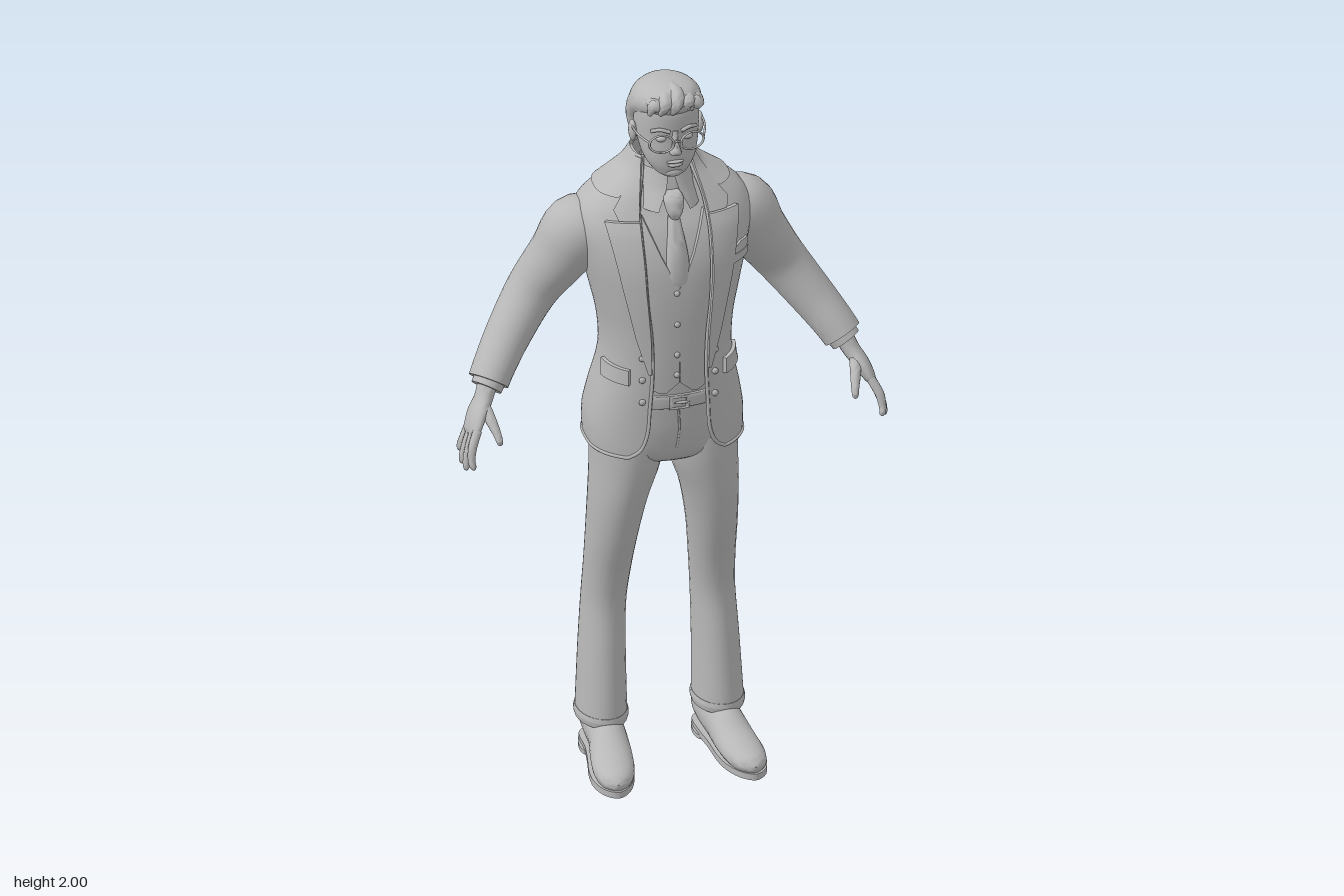
import * as THREE from 'three';
import { mergeVertices, toCreasedNormals } from 'three/addons/utils/BufferGeometryUtils.js';

const clay = new THREE.MeshStandardMaterial({ color: 0xb8b8b8, side: THREE.DoubleSide });
clay.name = 'clay grey';
const V = (x, y, z) => new THREE.Vector3(x, y, z);
const spow = (v, p) => Math.sign(v) * Math.abs(v) ** p;
const lerp = THREE.MathUtils.lerp;

export function createModel() {
  const model = new THREE.Group();
  model.name = 'suitedMan';
  const add = (name, geo, parent = model) => {
    const m = new THREE.Mesh(geo, clay);
    m.name = name;
    parent.add(m);
    return m;
  };

  // Resample a short table of key rows into a smooth, dense one
  const smooth = (t, n = 4) => {
    const out = [], k = i => t[Math.min(Math.max(i, 0), t.length - 1)];
    for (let i = 0; i < t.length - 1; i++) for (let j = 0; j < n; j++) {
      const u = j / n;
      out.push(t[i].map((b, c) => {
        const a = k(i - 1)[c], d = k(i + 1)[c], e = k(i + 2)[c];
        return b + 0.5 * u * (d - a + u * (2 * a - 5 * b + 4 * d - e + u * (3 * (b - d) + e - a)));
      }));
    }
    return [...out, t[t.length - 1]];
  };

  // Skin rows of points, optionally closing both ends
  const skin = (rows, caps) => {
    const pos = [], idx = [], w = rows[0].length;
    rows.forEach(r => r.forEach(p => pos.push(p.x, p.y, p.z)));
    for (let i = 0; i < rows.length - 1; i++) for (let j = 0; j < w - 1; j++) {
      const a = i * w + j, b = a + w;
      idx.push(a, a + 1, b, a + 1, b + 1, b);
    }
    if (caps) [0, rows.length - 1].forEach(e => {
      const c = rows[e].slice(1).reduce((s, p) => s.add(p), V(0, 0, 0)).divideScalar(w - 1);
      const ci = pos.length / 3, o = e * w;
      pos.push(c.x, c.y, c.z);
      for (let j = 0; j < w - 1; j++) e ? idx.push(o + j, o + j + 1, ci) : idx.push(o + j + 1, o + j, ci);
    });
    const g = new THREE.BufferGeometry();
    g.setAttribute('position', new THREE.Float32BufferAttribute(pos, 3));
    g.setIndex(idx);
    return toCreasedNormals(mergeVertices(g, 1e-5), 0.9);
  };

  // Horizontal section [y, halfWidth, frontZ, backZ, frontOpening]
  const P = [0.9, 0.65], ROUND = [1, 1];
  const pt = ([y, hw, zf, zb], th, off = 0, p = P) => {
    const s = Math.sin(th), c = Math.cos(th), e = c >= 0 ? p[0] : p[1];
    return V((hw + off) * spow(s, e), y, (zf + zb) / 2 + ((zf - zb) / 2 + off) * spow(c, e));
  };
  const angle = (r, x, p = P) => Math.asin(Math.min(1, Math.max(0, x) / r[1]) ** (1 / p[0]));
  const body = (name, keys, p = P, n = 40, off = 0) => {
    const open = keys[0].length > 4;
    const rows = smooth(keys).map(r => {
      const t0 = open ? angle(r, r[4], p) : 0;
      return Array.from({ length: n + 1 }, (_, j) => pt(r, lerp(t0, 2 * Math.PI - t0, j / n), off, p));
    });
    add(name, skin(rows, !open));
    return rows;
  };
  const ringAt = (t, y) => {
    let i = 0;
    while (i < t.length - 2 && t[i + 1][0] < y) i++;
    const u = THREE.MathUtils.clamp((y - t[i][0]) / (t[i + 1][0] - t[i][0]), 0, 1);
    return t[i].map((v, c) => lerp(v, t[i + 1][c], u));
  };

  // Thin raised panel lying on a body; rows are [y, innerX, outerX]
  const patch = (name, table, rows, off, s = 1, n = 6) => {
    const dense = [];
    rows.forEach((r, i) => {
      const q = rows[i + 1];
      for (let j = 0; q ? j < 3 : j < 1; j++) dense.push(q ? r.map((v, c) => lerp(v, q[c], j / 3)) : r);
    });
    const make = ([y, a, b], o) => {
      const r = ringAt(table, y), t0 = angle(r, a), t1 = angle(r, b), out = [];
      for (let j = -1; j <= n + 1; j++) {
        const q = pt(r, lerp(t0, t1, THREE.MathUtils.clamp(j / n, 0, 1)), j < 0 || j > n ? -0.002 : o);
        q.x *= s;
        out.push(q);
      }
      return out;
    };
    const last = dense[dense.length - 1];
    return add(name, skin([make(dense[0], -0.002), ...dense.map(r => make(r, off)), make(last, -0.002)], false));
  };

  // Tapered limb; keys are [x, y, z, radiusAcross, radiusAlongRef]
  const limb = (name, keys, s = 1, ref = V(0, 0, 1), n = 18) => {
    const d = smooth(keys), c = d.map(k => V(k[0] * s, k[1], k[2]));
    add(name, skin(d.map((k, i) => {
      const t = c[Math.min(i + 1, c.length - 1)].clone().sub(c[Math.max(i - 1, 0)]).normalize();
      const b = ref.clone().addScaledVector(t, -ref.dot(t)).normalize(), a = t.clone().cross(b);
      return Array.from({ length: n + 1 }, (_, j) => {
        const th = j / n * 2 * Math.PI;
        return c[i].clone().addScaledVector(a, k[3] * Math.cos(th)).addScaledVector(b, k[4] * Math.sin(th));
      });
    }), true));
  };
  const tube = (name, pts, r, seg = 24) =>
    add(name, new THREE.TubeGeometry(new THREE.CatmullRomCurve3(pts), seg, r, 6));
  const blob = (name, x, y, z, a, b, c) => {
    const m = add(name, new THREE.SphereGeometry(1, 16, 10));
    m.position.set(x, y, z);
    m.scale.set(a, b, c);
  };

  // Jacket shell, open down the front, with a rolled edge
  const jacketKeys = [
    [0.945, 0.205, 0.12, -0.192, 0.13], [0.97, 0.207, 0.121, -0.194, 0.1], [1.02, 0.206, 0.122, -0.193, 0.083],
    [1.09, 0.194, 0.125, -0.178, 0.078], [1.2, 0.171, 0.13, -0.156, 0.072], [1.3, 0.174, 0.132, -0.166, 0.075],
    [1.4, 0.195, 0.132, -0.182, 0.085], [1.5, 0.218, 0.122, -0.187, 0.09], [1.58, 0.232, 0.095, -0.184, 0.092],
    [1.63, 0.22, 0.066, -0.175, 0.09], [1.67, 0.178, 0.045, -0.162, 0.085], [1.7, 0.135, 0.03, -0.15, 0.076],
    [1.73, 0.096, 0.015, -0.137, 0.067], [1.768, 0.071, 0, -0.118, 0.06]];
  const jacket = smooth(jacketKeys);
  const shell = body('jacket', jacketKeys, P, 56);
  const end = shell[0].length - 1;
  tube('jacketEdge', [...shell.map(r => r[0]).reverse(), ...shell[0].slice(1, -1), ...shell.map(r => r[end])], 0.005, 260);
  body('jacketCollar', [[1.675, 0.172, 0.045, -0.16, 0.13], [1.7, 0.135, 0.03, -0.15, 0.1],
    [1.73, 0.096, 0.015, -0.137, 0.07], [1.772, 0.071, 0, -0.118, 0.058]], P, 40, 0.008);
  tube('backVent', [0.95, 0.99, 1.03, 1.07].map(y => pt(ringAt(jacket, y), Math.PI, 0.001)), 0.004);

  // Waistcoat and shirt body, trouser seat, belt
  const torsoKeys = jacketKeys.filter(r => r[0] > 1.05 && r[0] < 1.72)
    .map(([y, w, f, b]) => [y, w - 0.015, f - 0.015, b + 0.015]);
  const torso = smooth(torsoKeys);
  body('shirtBody', torsoKeys);
  body('trouserSeat', [[0.9, 0.13, 0.055, -0.13], [0.93, 0.18, 0.085, -0.155], [1, 0.186, 0.102, -0.168],
    [1.06, 0.182, 0.108, -0.165], [1.12, 0.175, 0.112, -0.155]]);
  body('belt', [[1.088, 0.182, 0.117, -0.163], [1.092, 0.184, 0.119, -0.165],
    [1.121, 0.18, 0.12, -0.16], [1.125, 0.178, 0.118, -0.158]]);
  const buckle = add('beltBuckle', new THREE.TorusGeometry(0.024, 0.005, 6, 4, Math.PI * 2).rotateZ(Math.PI / 4));
  buckle.scale.set(1.3, 0.95, 0.7);
  buckle.position.set(0, 1.106, 0.122);
  blob('buckleTongue', 0.006, 1.106, 0.123, 0.022, 0.004, 0.004);
  tube('trouserFly', [V(0, 1.08, 0.111), V(0.004, 1.02, 0.104), V(0, 0.96, 0.094)], 0.003);

  // Shirt collar and tie
  body('shirtCollar', [[1.645, 0.088, 0.085, -0.12, 0.042], [1.665, 0.082, 0.074, -0.12, 0.033],
    [1.7, 0.073, 0.054, -0.118, 0.016], [1.748, 0.064, 0.035, -0.11, 0.006]], ROUND);
  body('tie', [[1.41, 0.036, 0.115, 0.09], [1.46, 0.034, 0.124, 0.09], [1.53, 0.029, 0.119, 0.075],
    [1.59, 0.02, 0.102, 0.06], [1.63, 0.014, 0.088, 0.045]], P, 16);
  body('tieKnot', [[1.628, 0.013, 0.09, 0.05], [1.645, 0.021, 0.094, 0.05], [1.675, 0.027, 0.085, 0.04],
    [1.69, 0.022, 0.072, 0.035]], P, 16);

  // Jacket and waistcoat panels, on both sides
  for (const s of [1, -1]) {
    patch('waistcoatFront', torso, [[1.135, 0.034, 0.048], [1.165, 0.001, 0.1], [1.3, 0, 0.1], [1.44, 0, 0.11],
      [1.53, 0.042, 0.12], [1.63, 0.08, 0.12]], 0.009, s, 8);
    patch('lapel', jacket, [[1.2, 0.072, 0.08], [1.3, 0.074, 0.108], [1.45, 0.086, 0.14], [1.58, 0.09, 0.165],
      [1.622, 0.089, 0.172]], 0.01, s);
    patch('upperCollar', jacket, [[1.626, 0.089, 0.138], [1.65, 0.086, 0.146], [1.68, 0.08, 0.122],
      [1.73, 0.066, 0.088], [1.765, 0.058, 0.068]], 0.011, s);
    patch('pocketFlap', jacket, [[1.162, 0.124, 0.174], [1.205, 0.124, 0.17]], 0.01, s);
    for (const y of [1.115, 1.18, 1.245]) {
      const r = ringAt(jacket, y), q = pt(r, angle(r, 0.096), 0.003);
      blob('jacketButton', q.x * s, q.y, q.z, 0.009, 0.009, 0.006);
    }
  }
  for (const y of [1.19, 1.25, 1.34, 1.43]) blob('waistcoatButton', -0.008, y, ringAt(torso, y)[2] + 0.011, 0.008, 0.008, 0.006);
  patch('breastPocket', jacket, [[1.48, 0.136, 0.196], [1.503, 0.136, 0.198]], 0.008);
  patch('pocketSquare', jacket, [[1.5, 0.142, 0.194], [1.515, 0.145, 0.199], [1.53, 0.175, 0.198]], 0.006);

  for (const s of [1, -1]) {
    // Sleeve, shirt cuff and hand
    limb('sleeve', [[0.15, 1.575, -0.075, 0.055, 0.08], [0.212, 1.545, -0.08, 0.095, 0.092],
      [0.266, 1.465, -0.095, 0.08, 0.083], [0.332, 1.365, -0.112, 0.068, 0.07], [0.405, 1.265, -0.075, 0.06, 0.062],
      [0.452, 1.2, -0.037, 0.055, 0.058], [0.474, 1.165, -0.018, 0.053, 0.057]], s, undefined, 28);
    limb('shirtCuff', [[0.46, 1.185, -0.028, 0.042, 0.046], [0.472, 1.166, -0.018, 0.042, 0.046],
      [0.482, 1.151, -0.01, 0.041, 0.045]], s);
    [[0.425, 1.275], [0.445, 1.247], [0.463, 1.22]].forEach(([x, y], i) =>
      blob('sleeveButton', s * x, y - 0.01, -0.11 + i * 0.02, 0.008, 0.008, 0.007));
    limb('palm', [[0.475, 1.165, -0.018, 0.026, 0.034], [0.493, 1.128, 0.002, 0.023, 0.032],
      [0.515, 1.095, 0.02, 0.021, 0.044], [0.532, 1.06, 0.036, 0.016, 0.046], [0.538, 1.045, 0.041, 0.008, 0.038]], s);
    [[0.074, 0.105, 0.978, 0.548], [0.052, 0.08, 0.967, 0.56], [0.03, 0.05, 0.972, 0.563], [0.008, 0.018, 0.992, 0.56]]
      .forEach(([z0, z1, y1, x1]) => limb('finger', [[0.527, 1.07, z0 - 0.006, 0.012, 0.012],
        [0.545, 1.035, lerp(z0, z1, 0.4), 0.012, 0.012], [lerp(0.555, x1, 0.6), lerp(1.035, y1, 0.6), lerp(z0, z1, 0.75), 0.01, 0.01],
        [x1, y1 + 0.006, z1, 0.008, 0.008], [x1, y1, z1 + 0.001, 0.003, 0.003]], s, undefined, 10));
    limb('thumb', [[0.5, 1.125, 0.015, 0.014, 0.016], [0.49, 1.095, 0.055, 0.015, 0.015],
      [0.48, 1.065, 0.088, 0.011, 0.011], [0.476, 1.045, 0.104, 0.008, 0.008], [0.475, 1.04, 0.108, 0.002, 0.002]], s, V(1, 0, 0), 12);

    // Trouser leg with hem; sections are [centreX, y, centreZ, halfWidth, halfDepth]
    limb('trouserLeg', [[0.098, 0.97, -0.035, 0.096, 0.12], [0.104, 0.89, -0.037, 0.092, 0.118],
      [0.121, 0.79, -0.04, 0.077, 0.107], [0.133, 0.67, -0.055, 0.067, 0.092], [0.14, 0.55, -0.077, 0.061, 0.078],
      [0.146, 0.44, -0.092, 0.058, 0.077], [0.152, 0.3, -0.087, 0.061, 0.084], [0.156, 0.13, -0.078, 0.066, 0.092]], s, undefined, 28);
    limb('trouserHem', [[0.156, 0.135, -0.078, 0.067, 0.093], [0.156, 0.12, -0.078, 0.07, 0.095],
      [0.156, 0.107, -0.078, 0.067, 0.092]], s, undefined, 28);

    // Shoe with sole, heel and laces
    limb('shoeUpper', [[0.15, 0.06, -0.162, 0.03, 0.035], [0.15, 0.068, -0.15, 0.045, 0.055], [0.152, 0.073, -0.09, 0.05, 0.064],
      [0.157, 0.068, -0.01, 0.05, 0.06], [0.166, 0.052, 0.06, 0.055, 0.044], [0.176, 0.042, 0.125, 0.053, 0.034],
      [0.182, 0.036, 0.172, 0.038, 0.025], [0.184, 0.032, 0.195, 0.012, 0.011]], s, V(0, 1, 0), 24);
    const side = [[0.15, 0.168], [0.196, 0.145], [0.204, 0.06], [0.214, 0], [0.229, -0.07], [0.231, -0.13], [0.213, -0.182],
      [0.184, -0.202], [0.152, -0.182], [0.124, -0.13], [0.113, -0.07], [0.11, 0], [0.104, 0.06], [0.106, 0.145]];
    const slab = (name, pts, y, h) => {
      const curve = new THREE.CatmullRomCurve3(pts.map(([x, z]) => V(x * s, z, 0)), true);
      const shape = new THREE.Shape(curve.getPoints(48).map(p => new THREE.Vector2(p.x, p.y)));
      add(name, new THREE.ExtrudeGeometry(shape, { depth: h, bevelEnabled: false }).rotateX(-Math.PI / 2)).position.y = y;
    };
    slab('shoeSole', side, 0.006, 0.018);
    slab('shoeHeel', [...side.slice(0, 3), ...side.slice(12)], 0, 0.012);
    for (let i = 0; i < 3; i++) {
      const z = 0.025 + i * 0.022, y = 0.107 - i * 0.008, x = 0.162 + i * 0.003;
      tube('shoeLace', [V(s * (x - 0.027), y - 0.011, z), V(s * x, y, z), V(s * (x + 0.027), y - 0.011, z)], 0.004, 8);
    }

    // Ear, eye, brow and glasses on each side
    blob('ear', s * 0.09, 1.853, -0.012, 0.01, 0.03, 0.019);
    blob('eye', s * 0.035, 1.862, 0.07, 0.014, 0.009, 0.01);
    tube('eyebrow', [V(s * 0.015, 1.885, 0.084), V(s * 0.038, 1.892, 0.078), V(s * 0.06, 1.884, 0.062)], 0.005, 8);
    const rim = add('glassesRim', new THREE.TorusGeometry(0.032, 0.0035, 6, 28));
    rim.scale.y = 0.78;
    rim.rotation.y = s * 0.15;
    rim.position.set(s * 0.041, 1.86, 0.096);
    tube('glassesTemple', [V(s * 0.073, 1.866, 0.091), V(s * 0.09, 1.868, 0.04), V(s * 0.094, 1.868, -0.01), V(s * 0.092, 1.852, -0.026)], 0.003);
  }
  tube('glassesBridge', [V(-0.011, 1.862, 0.1), V(0, 1.867, 0.103), V(0.011, 1.862, 0.1)], 0.003, 8);

  // Neck, head, nose and mouth
  body('neck', [[1.64, 0.066, 0.05, -0.1], [1.7, 0.06, 0.036, -0.1], [1.75, 0.057, 0.025, -0.095], [1.82, 0.058, 0.02, -0.09]], ROUND);
  body('head', [[1.742, 0.024, 0.064, 0.012], [1.755, 0.044, 0.073, -0.015], [1.785, 0.065, 0.079, -0.045], [1.82, 0.076, 0.08, -0.075],
    [1.86, 0.082, 0.078, -0.1], [1.9, 0.084, 0.08, -0.108], [1.94, 0.08, 0.076, -0.1], [1.975, 0.055, 0.05, -0.07]], [0.88, 1]);
  body('nose', [[1.815, 0.009, 0.086, 0.06], [1.822, 0.016, 0.1, 0.06], [1.833, 0.013, 0.103, 0.06],
    [1.855, 0.008, 0.091, 0.06], [1.885, 0.01, 0.082, 0.06]], ROUND, 14);
  blob('upperLip', 0, 1.794, 0.078, 0.024, 0.005, 0.009);
  blob('lowerLip', 0, 1.784, 0.077, 0.02, 0.006, 0.009);
  blob('chin', 0, 1.759, 0.066, 0.024, 0.014, 0.013);

  // Hair cap with swept locks
  body('hair', [[1.785, 0.05, -0.03, -0.085], [1.825, 0.08, -0.028, -0.113], [1.865, 0.09, -0.02, -0.125], [1.9, 0.094, 0.025, -0.126],
    [1.93, 0.094, 0.076, -0.12], [1.96, 0.086, 0.09, -0.104], [1.983, 0.064, 0.078, -0.075], [1.994, 0.03, 0.05, -0.035]], ROUND, 36);
  [-0.05, -0.022, 0.008, 0.038, 0.062].forEach((x, i) => {
    const drop = Math.abs(x) * 0.45;
    limb('hairLock', [[x - 0.016, 1.935, 0.079 - drop * 0.5, 0.006, 0.006], [x - 0.008, 1.96, 0.087 - drop * 0.6, 0.016, 0.014],
      [x, 1.984 - drop, 0.068, 0.019, 0.015], [x * 1.05, 1.986 - drop, 0.02, 0.018, 0.013],
      [x * 1.05, 1.976 - drop, -0.04, 0.012, 0.01], [x, 1.95 - drop, -0.075, 0.004, 0.004]], 1, V(0.1 * (i - 2), 0.7, 0.7), 14);
  });
  return model;
}
